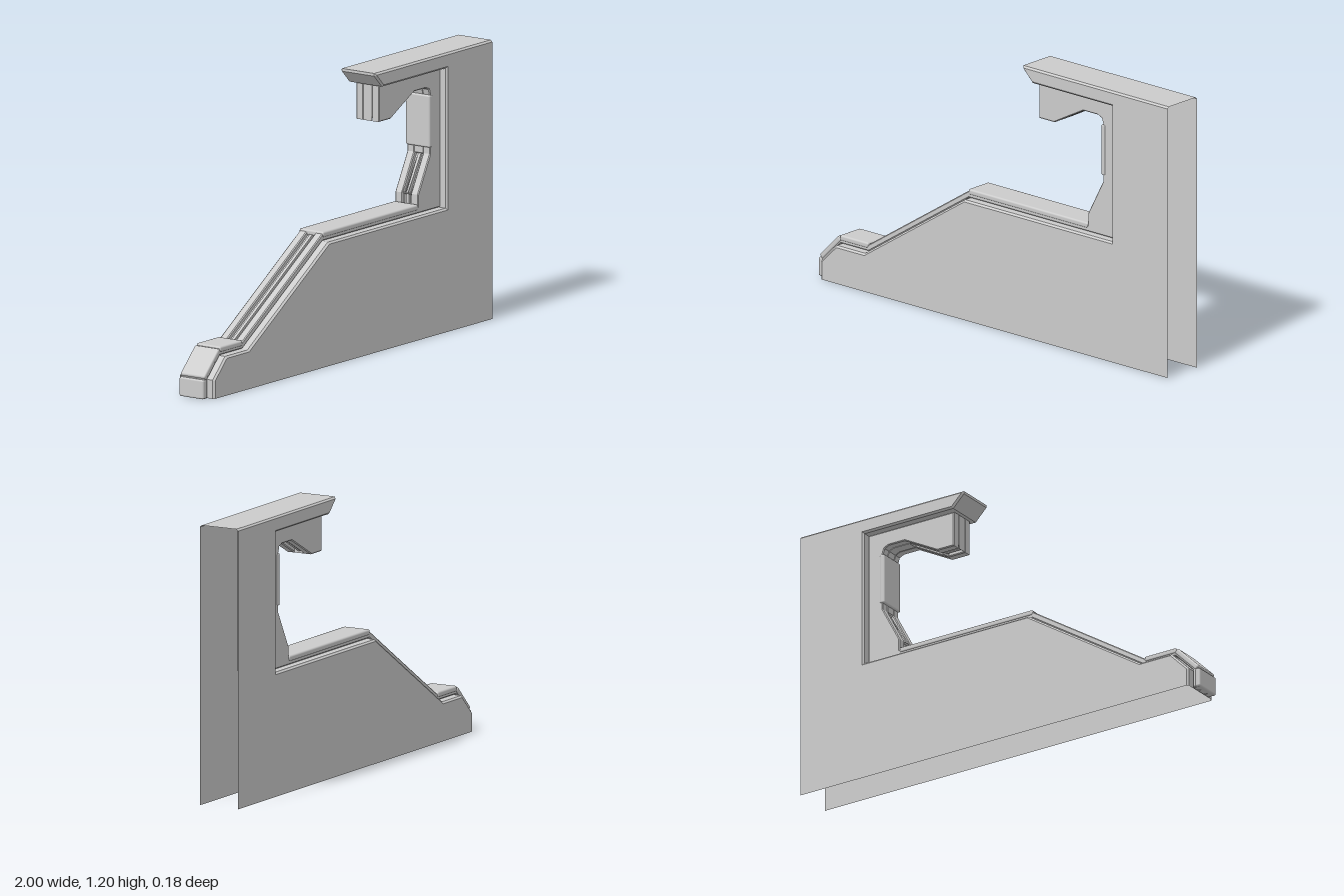
import * as THREE from 'three';
import { RoundedBoxGeometry } from 'three/addons/geometries/RoundedBoxGeometry.js';

const material = new THREE.MeshStandardMaterial({ color: 0xcccccc, side: THREE.DoubleSide });
const HALF = 0.092;   // half width of the shell
const TRIM = 0.06;    // half width of the trim
const GROOVE = 0.022; // half width of the groove in the trim
const BEVEL = 0.008;

// edge of the shell, from the toe up to the rear top corner
const edge = [[-0.96, 0], [-0.96, 0.08], [-0.873, 0.167], [-0.715, 0.167], [-0.15, 0.53], [0.68, 0.53],
  [0.68, 1.13], [0.232, 1.13], [0.178, 1.184], [0.178, 1.196], [1, 1.196]];

// exposed side of the trim; a third value marks the start of a grooved stretch
const trimEdge = [[-0.99, 0], [-0.99, 0.085], [-0.878, 0.197], [-0.72, 0.197, 1], [-0.153, 0.562], [0.52, 0.562, 1],
  [0.52, 0.612, 1], [0.605, 0.772], [0.605, 1.025], [0.597, 1.05], [0.575, 1.06], [0.495, 1.06, 1],
  [0.33, 0.972, 1], [0.245, 0.972], [0.245, 1.127]];

// moves an open path to its right by d, with mitred corners
function offsetPath(path, d) {
  const normal = (a, b) => new THREE.Vector2(b[1] - a[1], a[0] - b[0]).normalize();
  return path.map((p, i) => {
    const n0 = normal(path[Math.max(i - 1, 0)], path[Math.max(i, 1)]);
    const last = path.length - 1;
    const n1 = normal(path[Math.min(i, last - 1)], path[Math.min(i + 1, last)]);
    const m = n0.clone().add(n1).divideScalar(1 + n0.dot(n1));
    return [p[0] + m.x * d, p[1] + m.y * d];
  });
}

const toShape = pts => new THREE.Shape(pts.map(p => new THREE.Vector2(p[0], p[1])));

// flat-shaded strip joining several paths
function ribbon(rows) {
  const pos = [];
  for (let r = 0; r < rows.length - 1; r++) {
    const [A, B] = [rows[r], rows[r + 1]];
    for (let i = 0; i < A.length - 1; i++) {
      pos.push(...A[i], ...B[i], ...B[i + 1], ...A[i], ...B[i + 1], ...A[i + 1]);
    }
  }
  const g = new THREE.BufferGeometry();
  g.setAttribute('position', new THREE.Float32BufferAttribute(pos, 3));
  g.computeVertexNormals();
  return g;
}

// trim outline with its grooved stretches sunk by depth
function trimOutline(depth) {
  const outer = [];
  trimEdge.forEach((p, i) => {
    outer.push([p[0], p[1]]);
    if (p[2] && depth > 0) {
      const sunk = offsetPath([p, trimEdge[i + 1]], depth);
      outer.push(...sunk);
    }
  });
  const back = offsetPath(edge.slice(0, 7), -0.003);
  back[6] = [0.677, 1.127];
  return toShape([...outer, ...back.reverse()]);
}

function slab(shape, z0, z1, bevel = 0) {
  const g = new THREE.ExtrudeGeometry(shape, {
    depth: z1 - z0 - 2 * bevel, bevelEnabled: bevel > 0, bevelThickness: bevel,
    bevelSize: bevel, bevelOffset: -bevel, bevelSegments: 1,
  });
  return g.translate(0, 0, z0 + bevel);
}

export function createModel() {
  const model = new THREE.Group();
  const add = (name, geometry, parent = model) => {
    const mesh = new THREE.Mesh(geometry, material);
    mesh.name = name;
    parent.add(mesh);
    return mesh;
  };

  // hollow shell, open underneath and at the rear
  const inset = offsetPath(edge, BEVEL);
  const at = (path, z) => path.map(p => [p[0], p[1], z]);
  add('shellEdge', ribbon([at(inset, HALF), at(edge, HALF - BEVEL), at(edge, BEVEL - HALF), at(inset, -HALF)]));
  const plate = toShape([...inset, [1, 0]]);
  for (const s of [1, -1]) {
    const g = new THREE.ShapeGeometry(plate);
    if (s < 0) g.rotateY(Math.PI).scale(-1, 1, 1);
    add(s > 0 ? 'frontPlate' : 'backPlate', g.translate(0, 0, s * HALF));
  }

  // trim: two side rails, a sunk middle and a thin ridge in the groove
  const trim = new THREE.Group();
  trim.name = 'trim';
  model.add(trim);
  add('frontRail', slab(trimOutline(0), GROOVE, TRIM, 0.004), trim);
  add('backRail', slab(trimOutline(0), -TRIM, -GROOVE, 0.004), trim);
  add('grooveFloor', slab(trimOutline(0.018), -GROOVE, GROOVE), trim);
  add('grooveRidge', slab(trimOutline(0.008), -0.007, 0.007), trim);

  // rounded pads on the plain stretches of the trim
  const pads = [
    ['toePad', [-0.99, 0], [-0.99, 0.083]],
    ['toeSlopePad', [-0.987, 0.088], [-0.88, 0.195]],
    ['toeTopPad', [-0.878, 0.197], [-0.718, 0.197]],
    ['shelfPad', [-0.153, 0.562], [0.52, 0.562]],
    ['wallPad', [0.605, 0.8], [0.605, 1.025]],
  ];
  for (const [name, a, b] of pads) {
    const dx = b[0] - a[0], dy = b[1] - a[1], len = Math.hypot(dx, dy);
    const pad = add(name, new RoundedBoxGeometry(len, 0.024, 2 * TRIM + 0.006, 2, 0.008), trim);
    const lift = -0.003;
    pad.position.set((a[0] + b[0]) / 2 - dy / len * lift, (a[1] + b[1]) / 2 + dx / len * lift, 0);
    pad.rotation.z = Math.atan2(dy, dx);
  }
  return model;
}
